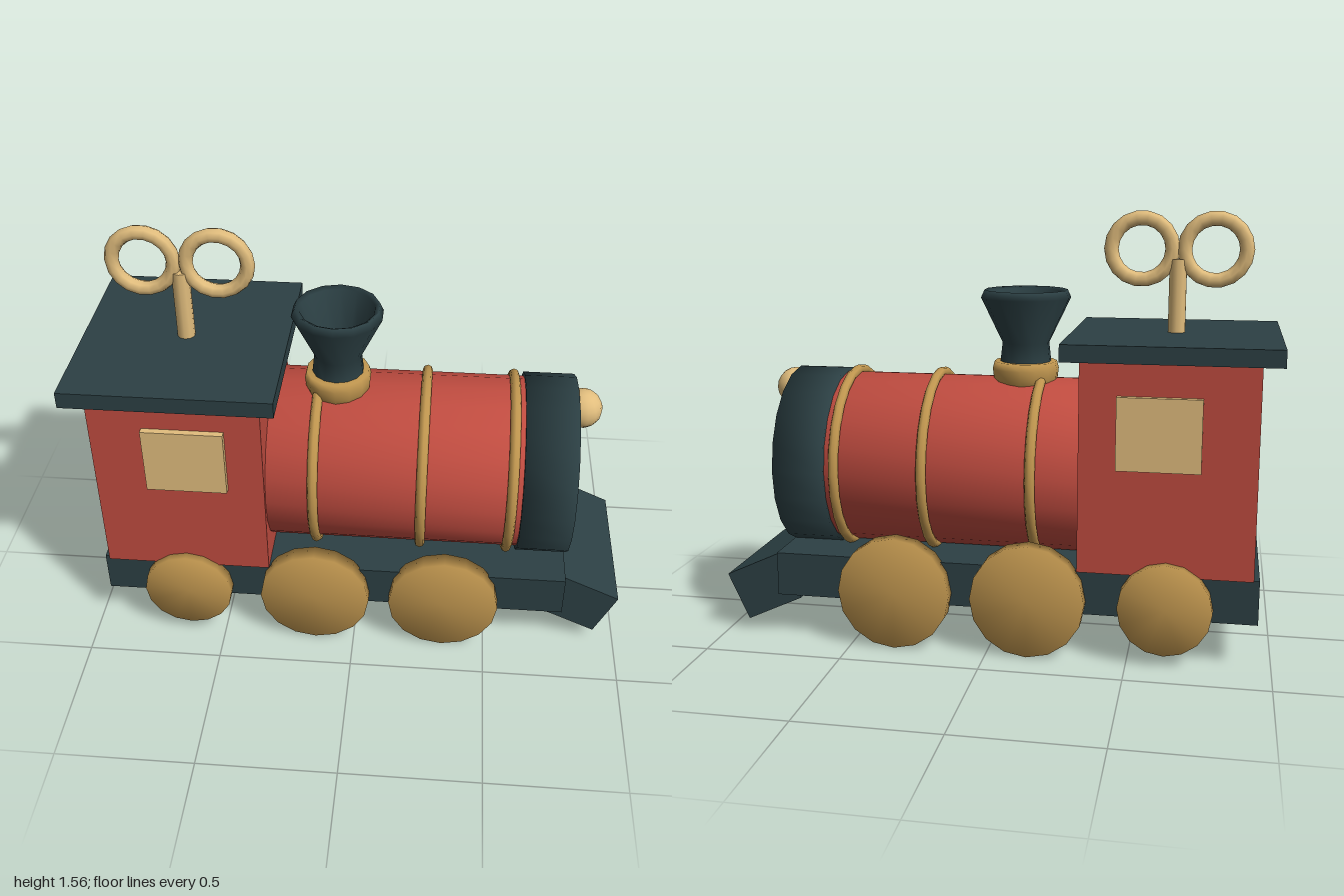
import * as THREE from 'three';
import { mergeVertices } from 'three/addons/utils/BufferGeometryUtils.js';

const mat = (color) => new THREE.MeshStandardMaterial({ color });
const red = mat(0xc04c40), dark = mat(0x2c4044), brass = mat(0xc0964f), cream = mat(0xe2be7e);

// Welds all corners so shading rolls softly over the rims
function soften(geometry) {
  geometry.deleteAttribute('normal');
  geometry.deleteAttribute('uv');
  const welded = mergeVertices(geometry, 1e-4);
  welded.computeVertexNormals();
  return welded;
}

export function createModel() {
  const model = new THREE.Group();
  model.name = 'toyTrain';

  const add = (name, geometry, material, x, y, z = 0) => {
    const mesh = new THREE.Mesh(geometry, material);
    mesh.name = name;
    mesh.position.set(x, y, z);
    model.add(mesh);
    return mesh;
  };
  // Box given by its limits in x and y and its full depth in z
  const box = (name, x0, x1, y0, y1, depth, material) =>
    add(name, new THREE.BoxGeometry(x1 - x0, y1 - y0, depth), material, (x0 + x1) / 2, (y0 + y1) / 2);
  // Drum lying along x
  const drum = (name, x0, x1, radius, material) => {
    const g = new THREE.CylinderGeometry(radius, radius, x1 - x0, 20).rotateZ(-Math.PI / 2);
    return add(name, soften(g), material, (x0 + x1) / 2, 0.63);
  };

  // Chassis and cab
  box('chassis', -0.95, 0.79, 0.16, 0.32, 0.64, dark);
  box('cab', -0.93, -0.32, 0.32, 1.07, 0.672, red);
  box('roof', -1, -0.26, 1.07, 1.13, 0.804, dark);
  for (const s of [-1, 1]) {
    add('window', new THREE.BoxGeometry(0.29, 0.255, 0.05), cream, -0.595, 0.823, s * 0.335);
  }

  // Sloped bumper at the front end
  const bumper = add('bumper', new THREE.BoxGeometry(0.228, 0.187, 0.58), dark, 0.856, 0.178);
  bumper.rotation.z = -0.43;

  // Boiler, smokebox and bands
  drum('boiler', -0.36, 0.6, 0.322, red);
  drum('smokebox', 0.6, 0.79, 0.337, dark);
  for (const x of [-0.15, 0.24, 0.563]) {
    const g = new THREE.TorusGeometry(0.328, 0.019, 8, 24).rotateY(Math.PI / 2);
    add('boilerBand', g, brass, x, 0.63);
  }
  add('headlamp', new THREE.SphereGeometry(0.073, 14, 10), cream, 0.809, 0.888);

  // Chimney: brass collar and open funnel
  const collar = [[0, 0.9], [0.1, 0.9], [0.118, 0.95], [0.122, 0.985], [0.115, 1.012], [0, 1.012]];
  const funnel = [[0.095, 1.0], [0.086, 1.08], [0.165, 1.245], [0.152, 1.274], [0.135, 1.265], [0.084, 1.09], [0.086, 1.0]];
  const lathe = (points) => new THREE.LatheGeometry(points.map(([r, y]) => new THREE.Vector2(r, y)), 14);
  add('chimneyCollar', lathe(collar), brass, -0.083, 0);
  const funnelMaterial = dark.clone();
  funnelMaterial.side = THREE.DoubleSide;
  add('chimneyFunnel', lathe(funnel), funnelMaterial, -0.083, 0);

  // Wind-up key
  add('keyShaft', new THREE.CylinderGeometry(0.032, 0.032, 0.29, 10), cream, -0.63, 1.245);
  for (const s of [-1, 1]) {
    add('keyLoop', new THREE.TorusGeometry(0.109, 0.026, 8, 18), cream, -0.63 + s * 0.13, 1.425);
  }

  // Wheels, mirrored on both sides
  for (const [x, radius] of [[-0.63, 0.165], [-0.147, 0.205], [0.338, 0.205]]) {
    for (const s of [-1, 1]) {
      const g = new THREE.CylinderGeometry(radius, radius, 0.062, 16).rotateX(Math.PI / 2);
      add('wheel', soften(g), brass, x, 0.207, s * 0.336);
    }
  }
  return model;
}
